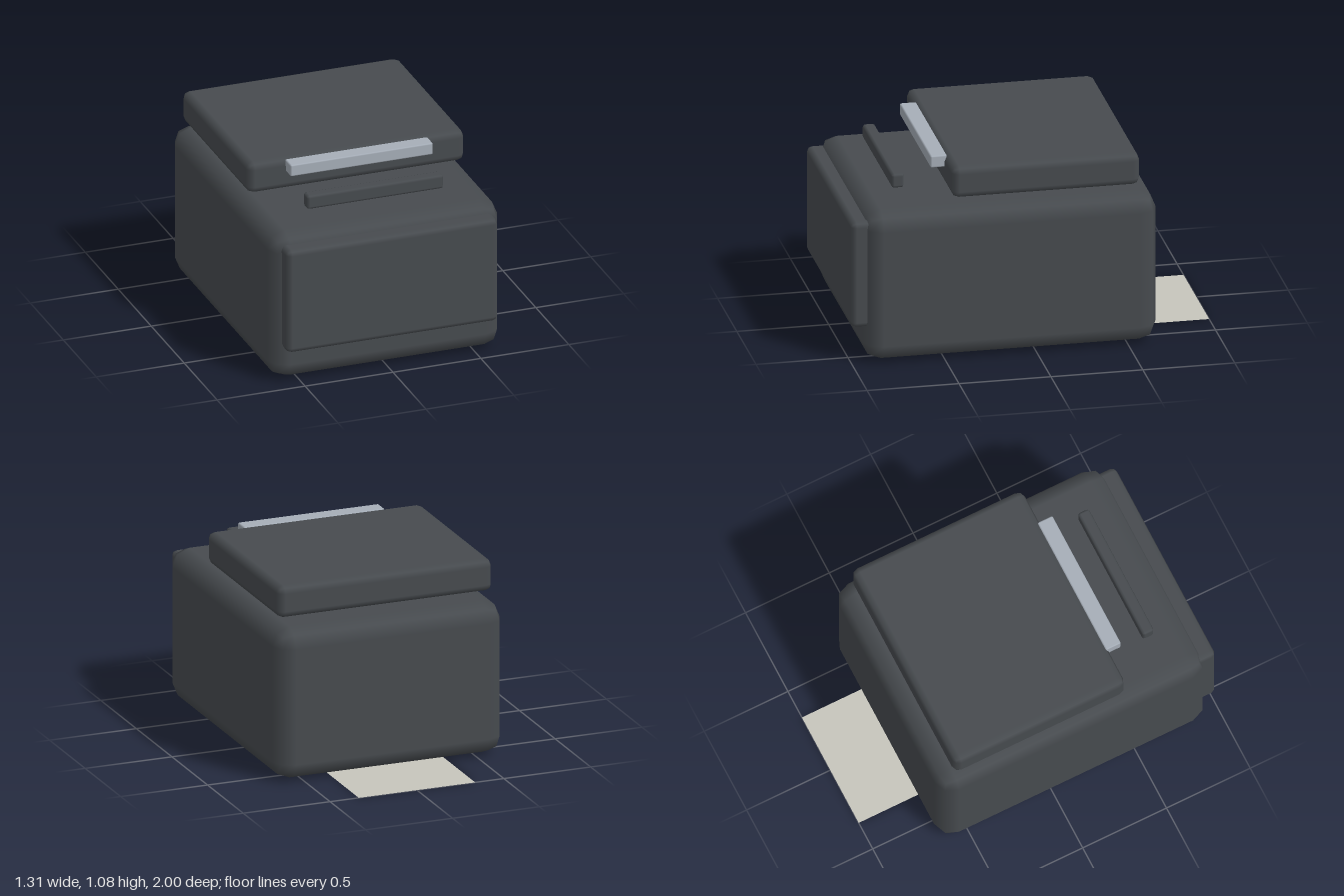
import * as THREE from 'three';
import { RoundedBoxGeometry } from 'three/addons/geometries/RoundedBoxGeometry.js';

const flat = (name, color, extra = {}) => {
  const m = new THREE.MeshStandardMaterial({ color, ...extra });
  m.name = name;
  return m;
};

export function createModel() {
  const group = new THREE.Group();
  group.name = 'receiptPrinter';

  const charcoal = flat('charcoal', 0x474b4f);
  const silver = flat('silver', 0xa6aeb8);
  const paper = flat('paper', 0xdedad0);
  const sheetPaper = flat('sheetPaper', 0xc6c5bc, { side: THREE.DoubleSide });

  const add = (name, geometry, material, x = 0, y = 0, z = 0) => {
    const mesh = new THREE.Mesh(geometry, material);
    mesh.name = name;
    mesh.position.set(x, y, z);
    group.add(mesh);
    return mesh;
  };

  // Bevelled box given by its width and its y and z ranges
  const block = (name, material, w, [y0, y1], [z0, z1], r) =>
    add(name, new RoundedBoxGeometry(w, y1 - y0, z1 - z0, 1, r), material,
      0, (y0 + y1) / 2, (z0 + z1) / 2);

  // Housing, front cover and raised lid
  block('body', charcoal, 1.31, [0.005, 0.855], [-0.662, 0.934], 0.1);
  block('frontPanel', charcoal, 1.2, [0.2, 0.8], [0.88, 1.0], 0.03);
  block('lid', charcoal, 1.235, [0.9, 1.08], [-0.568, 0.454], 0.04);

  // Lid handle and the cutter bar in front of it
  block('lidHandle', silver, 0.81, [1.008, 1.075], [0.44, 0.53], 0.008);
  block('cutterBar', charcoal, 0.775, [0.9, 0.98], [0.67, 0.737], 0.015);

  // Paper roll, showing in the gap under the lid
  const roll = new THREE.CylinderGeometry(0.334, 0.334, 0.74, 32).rotateZ(Math.PI / 2);
  add('paperRoll', roll, paper, 0, 0.673, -0.11);

  // Paper sheet lying flat behind the body
  const sheet = new THREE.PlaneGeometry(0.67, 0.47).rotateX(-Math.PI / 2);
  add('paperSheet', sheet, sheetPaper, 0, 0, -0.765);

  return group;
}
